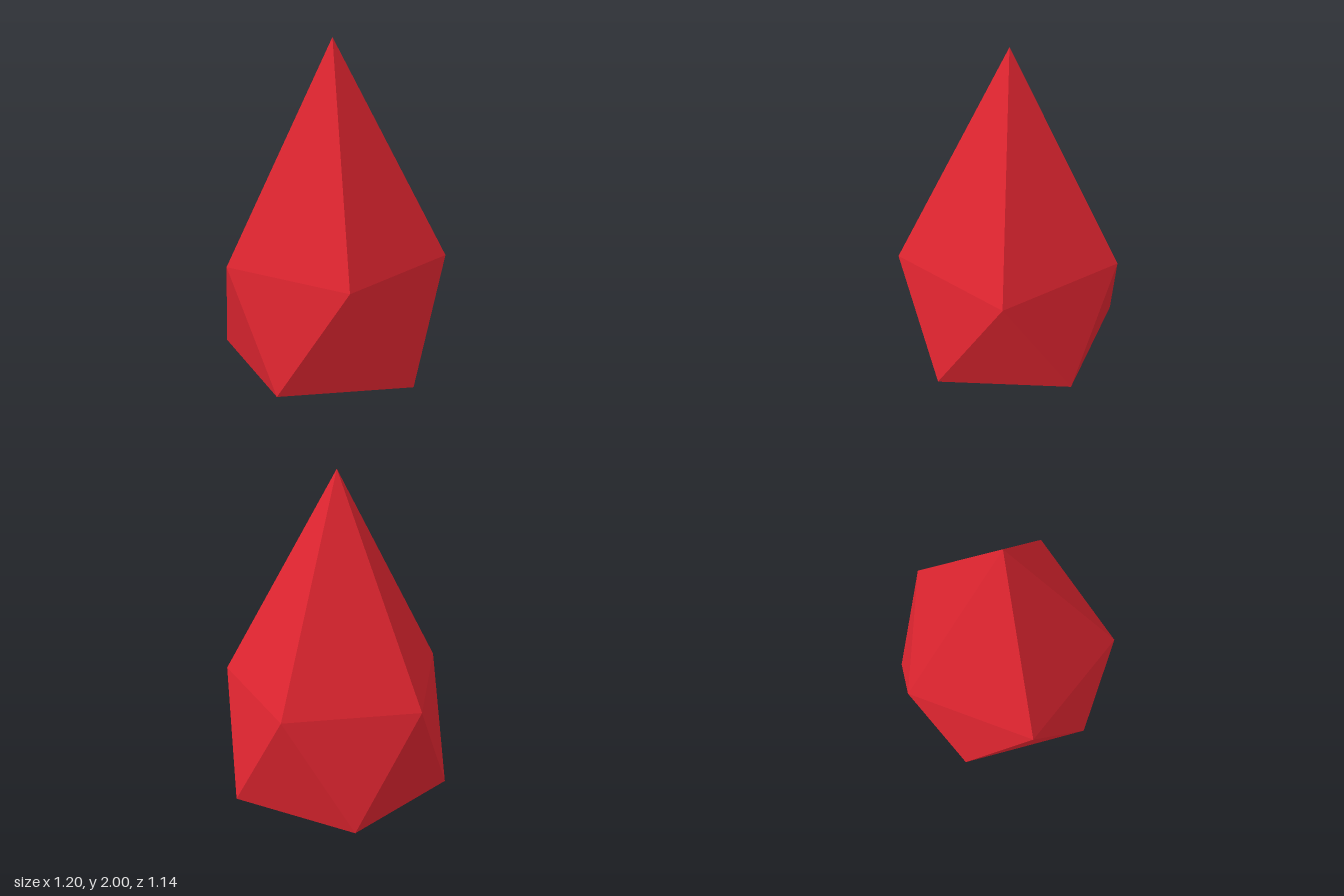
import * as THREE from 'three';

// Ring of five points; turn is measured in fifths of a circle from +x
function ring(y, radius, turn) {
  return Array.from({ length: 5 }, (_, i) => {
    const a = ((i + turn) * Math.PI * 2) / 5;
    return [radius * Math.cos(a), y, radius * Math.sin(a)];
  });
}

export function createModel() {
  const crimson = new THREE.MeshStandardMaterial({ color: 0xe02530, flatShading: true });
  crimson.name = 'crimson';

  // Twenty-sided gem with its top point drawn out into a spire
  const top = [0, 2, 0];
  const bottom = [0, 0, 0];
  const upper = ring(0.876, 0.6, 0);
  const lower = ring(0.276, 0.6, 0.5);

  const corners = [];
  for (let i = 0; i < 5; i++) {
    const j = (i + 1) % 5;
    corners.push(
      top, upper[j], upper[i],       // spire
      lower[i], upper[i], upper[j],  // belt, pointing down
      upper[j], lower[j], lower[i],  // belt, pointing up
      bottom, lower[i], lower[j]     // base
    );
  }
  const geometry = new THREE.BufferGeometry();
  geometry.setAttribute('position', new THREE.Float32BufferAttribute(corners.flat(), 3));
  geometry.computeVertexNormals();

  const gem = new THREE.Mesh(geometry, crimson);
  gem.name = 'gem';

  const model = new THREE.Group();
  model.name = 'crystal';
  model.add(gem);
  return model;
}
